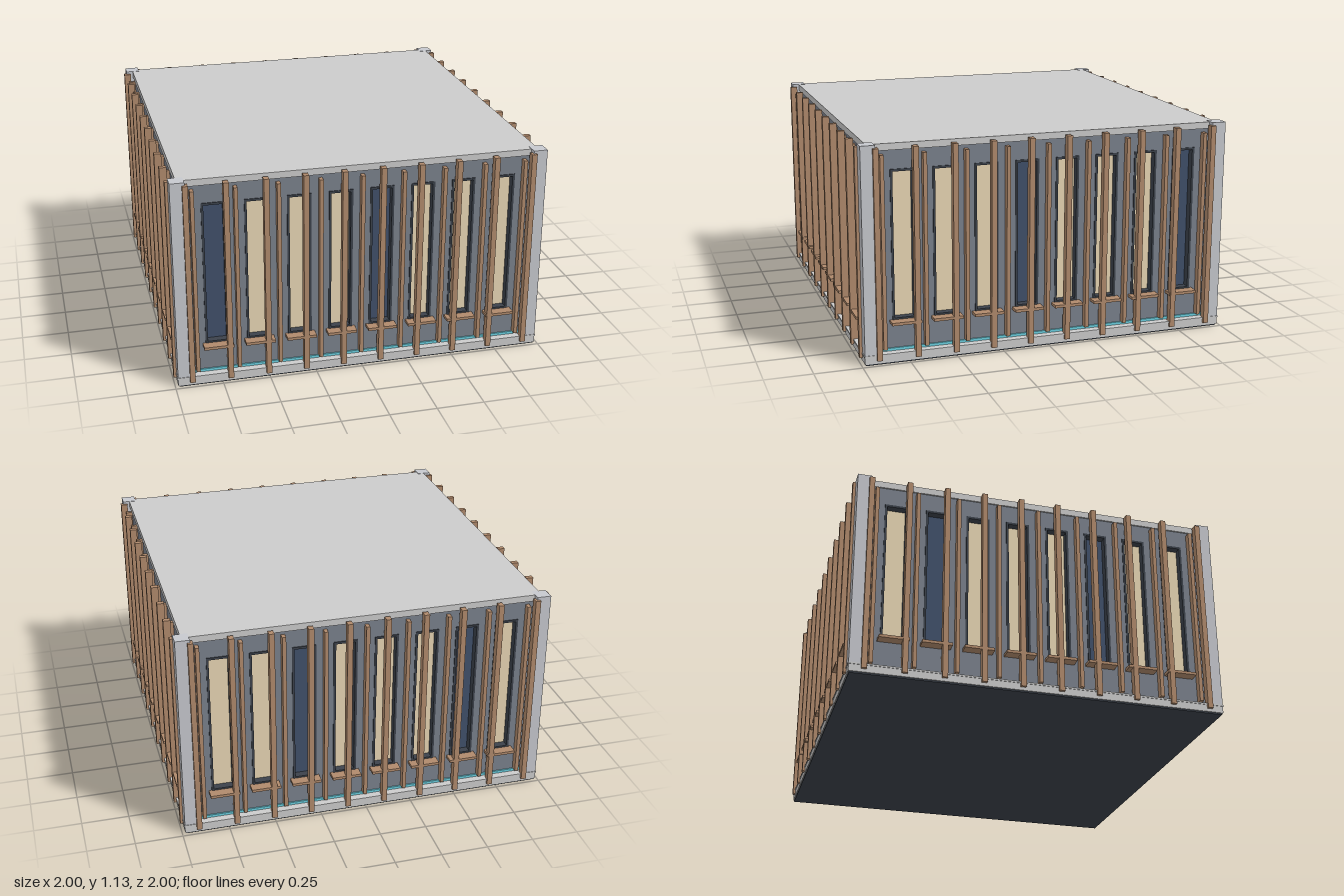
import * as THREE from 'three';

const mat = (color) => new THREE.MeshStandardMaterial({ color });
const M = {
  grey: mat(0xcccccc), post: mat(0xc6c8ce), wall: mat(0x7a818c), frame: mat(0x3c424b),
  lit: mat(0xe8d6b4), dark: mat(0x40506a), wood: mat(0xb08a6c), strip: mat(0x6cd0e0),
};

// Box given by its lower and upper limits on each axis
function box(name, material, [x0, x1], [y0, y1], [z0, z1]) {
  const mesh = new THREE.Mesh(new THREE.BoxGeometry(x1 - x0, y1 - y0, z1 - z0), material);
  mesh.position.set((x0 + x1) / 2, (y0 + y1) / 2, (z0 + z1) / 2);
  mesh.name = name;
  return mesh;
}

function rectangle(PathType, x0, x1, y0, y1) {
  const p = new PathType();
  p.moveTo(x0, y0);
  p.lineTo(x1, y0);
  p.lineTo(x1, y1);
  p.lineTo(x0, y1);
  p.closePath();
  return p;
}

function extrude(name, material, shape, z0, z1) {
  const geometry = new THREE.ExtrudeGeometry(shape, { depth: z1 - z0, bevelEnabled: false });
  const mesh = new THREE.Mesh(geometry, material);
  mesh.position.z = z0;
  mesh.name = name;
  return mesh;
}

const BAYS = 8, PITCH = 0.2187, HALF = 0.063, Y0 = 0.215, Y1 = 1.0, RIM = 0.012;
const bayX = (i) => (i - (BAYS - 1) / 2) * PITCH;

// One facade, facing +z; the dark windows shift by one bay from side to side
function facade(side) {
  const g = new THREE.Group();
  g.name = 'facade';

  // Wall pierced by window openings
  const wall = rectangle(THREE.Shape, -0.94, 0.94, 0.04, 1.11);
  for (let i = 0; i < BAYS; i++) {
    const x = bayX(i);
    wall.holes.push(rectangle(THREE.Path, x - HALF, x + HALF, Y0, Y1));
  }
  g.add(extrude('wall', M.wall, wall, 0.895, 0.94));

  for (let i = 0; i < BAYS; i++) {
    const x = bayX(i);
    // Window frame, recessed pane and sill
    const frame = rectangle(THREE.Shape, x - HALF, x + HALF, Y0, Y1);
    frame.holes.push(rectangle(THREE.Path, x - HALF + RIM, x + HALF - RIM, Y0 + RIM, Y1 - RIM));
    g.add(extrude('windowFrame', M.frame, frame, 0.895, 0.945));
    g.add(box('windowPane', (i + side) % 4 === 0 ? M.dark : M.lit,
      [x - HALF + 0.005, x + HALF - 0.005], [Y0 + 0.005, Y1 - 0.005], [0.89, 0.905]));
    g.add(box('windowSill', M.wood, [x - 0.078, x + 0.078], [0.203, 0.218], [0.935, 0.997]));
  }

  // Tall outer fins
  for (let i = 0; i < 10; i++) {
    const x = (i - 4.5) * 0.2022;
    g.add(box('tallFin', M.wood, [x - 0.014, x + 0.014], [0.025, 1.12], [0.962, 1.0]));
  }
  // Slim inner fins
  for (let i = 0; i < 9; i++) {
    const x = (i - 4) * PITCH;
    g.add(box('slimFin', M.wood, [x - 0.01, x + 0.01], [0.07, 1.08], [0.94, 0.975]));
  }

  // Light strip along the foot of the wall
  g.add(box('lightStrip', M.strip, [-0.91, 0.91], [0.054, 0.068], [0.935, 0.948]));
  g.rotation.y = side * Math.PI / 2;
  return g;
}

export function createModel() {
  const model = new THREE.Group();
  model.name = 'pavilion';

  // Floor and roof
  model.add(box('plinth', M.frame, [-0.98, 0.98], [0, 0.01], [-0.98, 0.98]));
  model.add(box('floorSlab', M.grey, [-0.985, 0.985], [0.008, 0.045], [-0.985, 0.985]));
  model.add(box('floorLedge', M.grey, [-0.988, 0.988], [0.045, 0.054], [-0.988, 0.988]));
  model.add(box('roofSlab', M.grey, [-0.948, 0.948], [1.098, 1.133], [-0.948, 0.948]));

  // Corner posts
  for (const sx of [-1, 1]) {
    for (const sz of [-1, 1]) {
      const post = box('cornerPost', M.post, [0.91, 0.985], [0.05, 1.135], [0.91, 0.985]);
      post.position.x *= sx;
      post.position.z *= sz;
      model.add(post);
    }
  }

  for (let side = 0; side < 4; side++) model.add(facade(side));
  return model;
}
